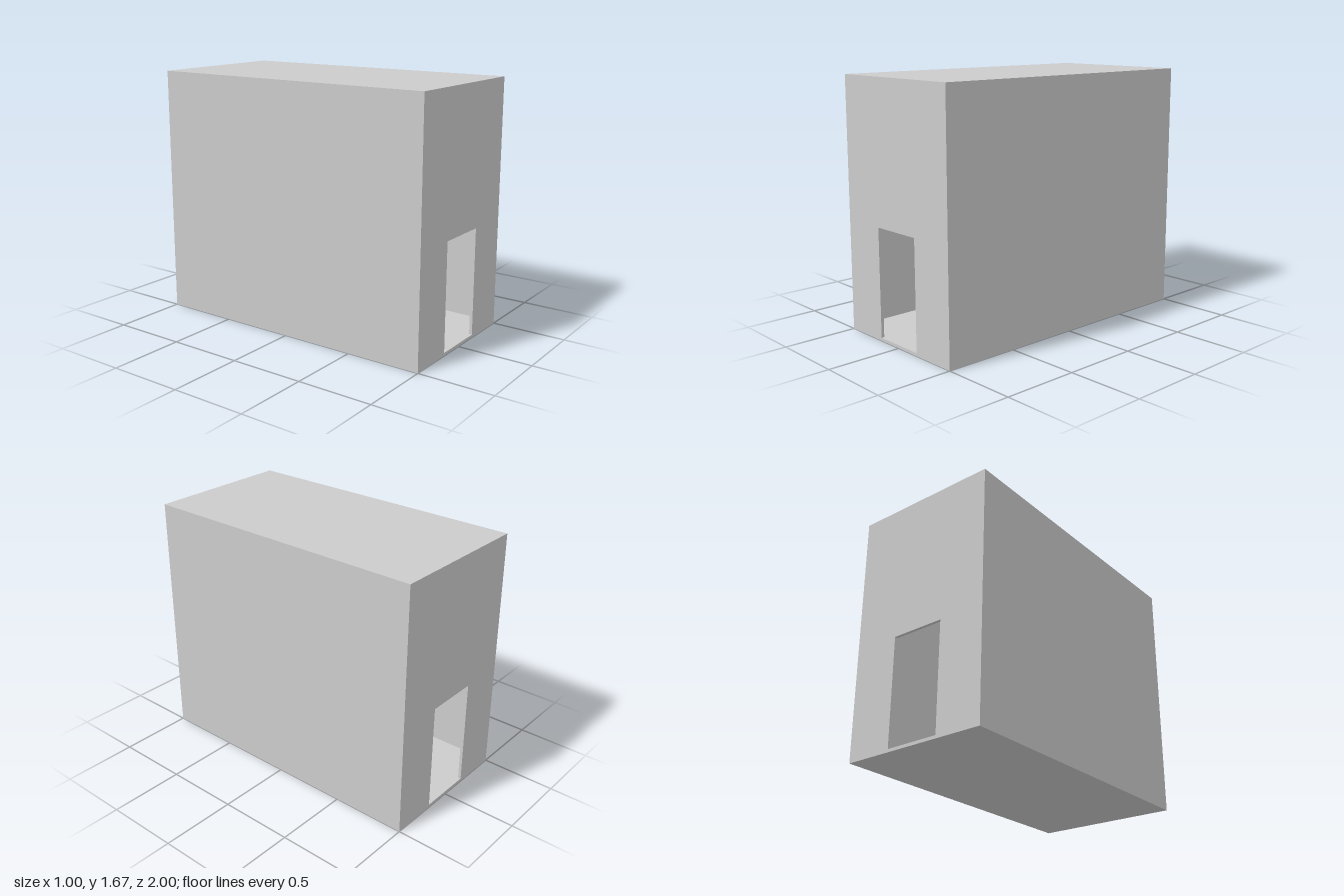
import * as THREE from 'three';

const W = 1, H = 1.667, D = 2;      // outer size
const T = 0.02;                     // wall, floor and roof thickness
const DOOR_W = 0.367, DOOR_TOP = 0.737;

// Rectangle centred on x = 0, as a closed outline
function rect(target, width, y0, y1) {
  const h = width / 2;
  target.moveTo(-h, y0);
  target.lineTo(h, y0);
  target.lineTo(h, y1);
  target.lineTo(-h, y1);
  target.closePath();
  return target;
}

// Outer rectangle with one opening, extruded along z from z0
function panel(name, opening, depth, z0, material) {
  const shape = rect(new THREE.Shape(), W, 0, H);
  shape.holes.push(opening);
  const geometry = new THREE.ExtrudeGeometry(shape, { depth, bevelEnabled: false });
  geometry.translate(0, 0, z0);
  const mesh = new THREE.Mesh(geometry, material);
  mesh.name = name;
  return mesh;
}

export function createModel() {
  const group = new THREE.Group();
  group.name = 'room';
  const material = new THREE.MeshStandardMaterial({ color: 0xcccccc, flatShading: true });

  // Floor, side walls and roof as one hollow shell
  const inside = rect(new THREE.Path(), W - 2 * T, T, H - T);
  group.add(panel('shell', inside, D - 2 * T, -D / 2 + T, material));

  // End walls, each with a doorway down to floor level
  for (const [name, z0] of [['frontWall', D / 2 - T], ['backWall', -D / 2]]) {
    const doorway = rect(new THREE.Path(), DOOR_W, T, DOOR_TOP);
    group.add(panel(name, doorway, T, z0, material));
  }

  return group;
}
